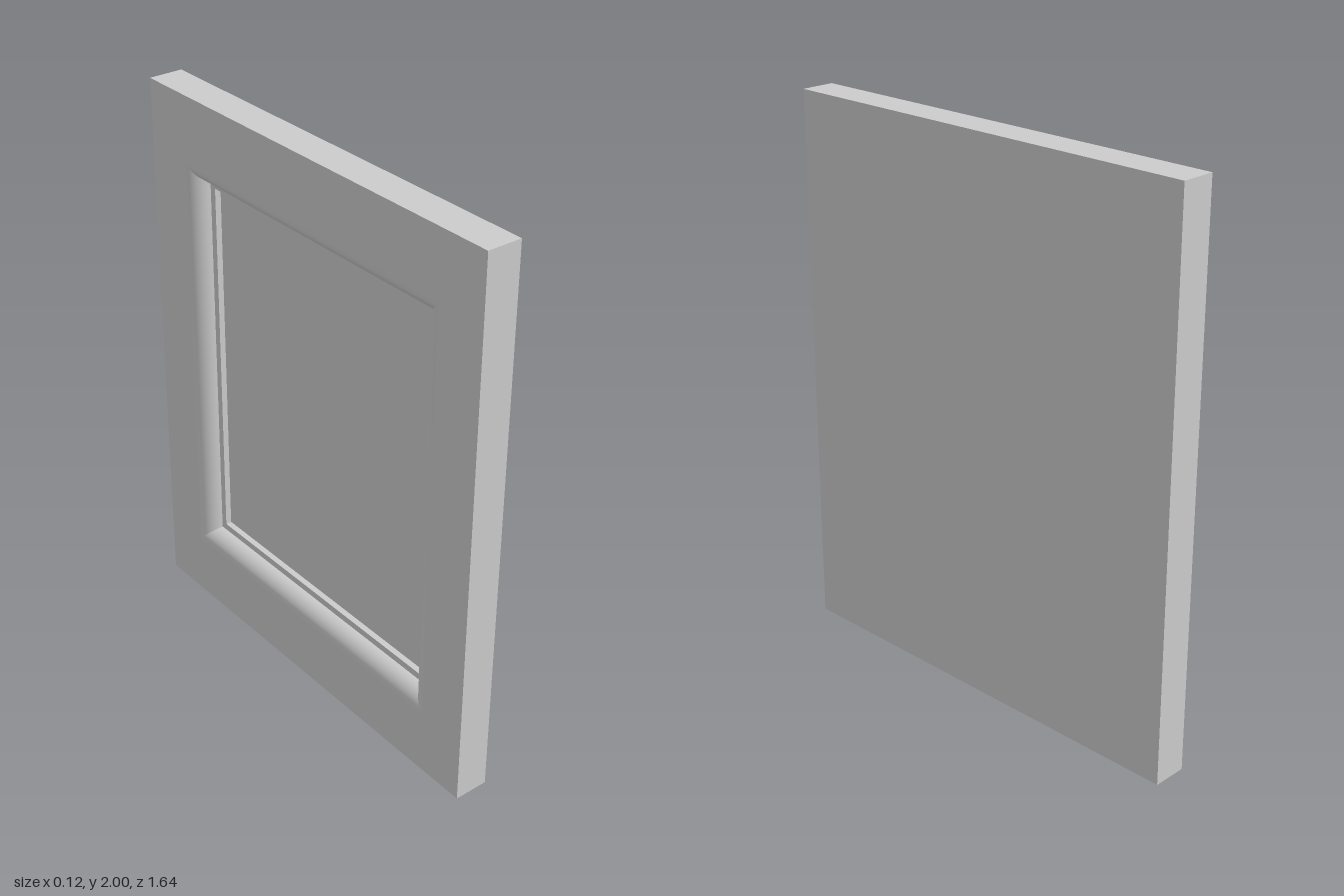
import * as THREE from 'three';
import { toCreasedNormals } from 'three/addons/utils/BufferGeometryUtils.js';

const HALF_Z = 0.82, HALF_Y = 1, HALF_X = 0.0625;
const INSET_Z = 0.185, INSET_Y = 0.235; // border between slab edge and moulding
const RADIUS = 0.06, LEDGE = 0.085, DEPTH = 0.082;

// Skins a series of rectangular rings [halfZ, halfY, x]
function loftRings(rings) {
  const corners = ([z, y, x]) => [[x, -y, -z], [x, -y, z], [x, y, z], [x, y, -z]];
  const pos = [];
  for (let i = 0; i < rings.length - 1; i++) {
    const p = corners(rings[i]), q = corners(rings[i + 1]);
    for (let k = 0; k < 4; k++) {
      const n = (k + 1) % 4;
      pos.push(...p[k], ...p[n], ...q[n], ...p[k], ...q[n], ...q[k]);
    }
  }
  const geo = new THREE.BufferGeometry();
  geo.setAttribute('position', new THREE.Float32BufferAttribute(pos, 3));
  geo.computeVertexNormals();
  return toCreasedNormals(geo, 0.5);
}

// Flat sheet facing along x (dir = 1 or -1)
function sheet(halfZ, halfY, x, dir) {
  return new THREE.PlaneGeometry(halfZ * 2, halfY * 2).rotateY(dir * Math.PI / 2).translate(x, 0, 0);
}

export function createModel() {
  const model = new THREE.Group();
  model.name = 'cabinetDoor';
  const material = new THREE.MeshStandardMaterial({ color: 0xcccccc });
  const add = (name, geometry) => {
    const mesh = new THREE.Mesh(geometry, material);
    mesh.name = name;
    mesh.position.y = HALF_Y;
    model.add(mesh);
  };
  // Rectangle at a given step inside the moulding opening and depth below the face
  const ring = (step, depth) =>
    [HALF_Z - INSET_Z - step, HALF_Y - INSET_Y - step, -HALF_X + depth];

  // Outer edges, plain side and the flat border of the panelled side
  const rim = [HALF_Z, HALF_Y, -HALF_X];
  add('outerEdges', loftRings([[HALF_Z, HALF_Y, HALF_X], rim]));
  add('plainFace', sheet(HALF_Z, HALF_Y, HALF_X, 1));
  add('frameFace', loftRings([rim, ring(0, 0)]));

  // Rounded moulding, then a narrow ledge and a step down to the panel
  const profile = [];
  for (let i = 0; i <= 10; i++) {
    const a = (i / 10) * Math.PI / 2;
    profile.push(ring(RADIUS * Math.sin(a), RADIUS * (1 - Math.cos(a))));
  }
  profile.push(ring(LEDGE, RADIUS), ring(LEDGE, DEPTH));
  add('moulding', loftRings(profile));

  // Sunken centre panel
  const [pz, py, px] = ring(LEDGE, DEPTH);
  add('centrePanel', sheet(pz, py, px, -1));
  return model;
}
